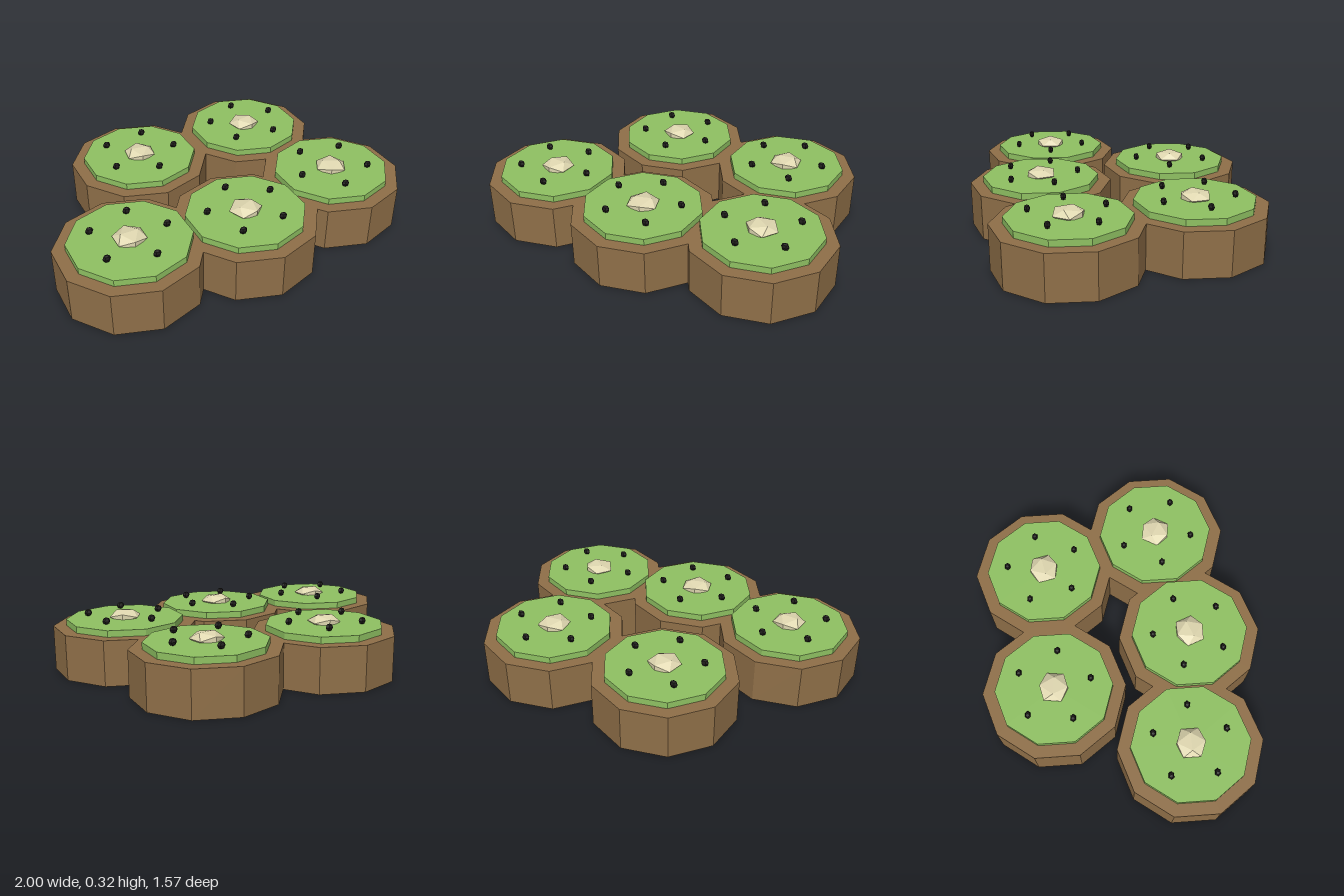
import * as THREE from 'three';

const mat = (color) => new THREE.MeshStandardMaterial({ color, flatShading: true });

// Slice centres and the angle of the first seed: x, z, degrees
const SLICES = [
  [-0.273, -0.37, 8],
  [0.435, -0.397, -12],
  [-0.628, 0.336, 0],
  [0, 0.393, -21],
  [0.628, 0.256, 30],
];

export function createModel() {
  const skinMat = mat(0x8f6f48);
  const fleshMat = mat(0x8fc162);
  const coreMat = mat(0xdfd7b0);
  const seedMat = mat(0x1c1a18);

  const skinGeo = new THREE.CylinderGeometry(0.39, 0.39, 0.245, 10);
  const fleshGeo = new THREE.CylinderGeometry(0.32, 0.32, 0.06, 10);
  const coreGeo = new THREE.IcosahedronGeometry(0.09, 0).scale(1, 0.42, 1);
  const seedGeo = new THREE.SphereGeometry(0.02, 6, 4).scale(1.1, 1, 0.85);

  const add = (parent, name, geo, material, x, y, z) => {
    const mesh = new THREE.Mesh(geo, material);
    mesh.name = name;
    mesh.position.set(x, y, z);
    parent.add(mesh);
    return mesh;
  };

  const model = new THREE.Group();
  model.name = 'fruitSlices';

  for (const [x, z, degrees] of SLICES) {
    const slice = new THREE.Group();
    slice.name = 'slice';
    slice.position.set(x, 0, z);
    const start = THREE.MathUtils.degToRad(degrees);

    // Brown rind, green flesh disc and pale faceted core
    add(slice, 'skin', skinGeo, skinMat, 0, 0.1225, 0);
    add(slice, 'flesh', fleshGeo, fleshMat, 0, 0.25, 0);
    add(slice, 'core', coreGeo, coreMat, 0, 0.288, 0).rotation.y = -start;

    // Ring of five seeds
    for (let i = 0; i < 5; i++) {
      const a = start + (i * Math.PI * 2) / 5;
      add(slice, 'seed', seedGeo, seedMat, 0.205 * Math.cos(a), 0.302, 0.205 * Math.sin(a));
    }
    model.add(slice);
  }
  return model;
}
